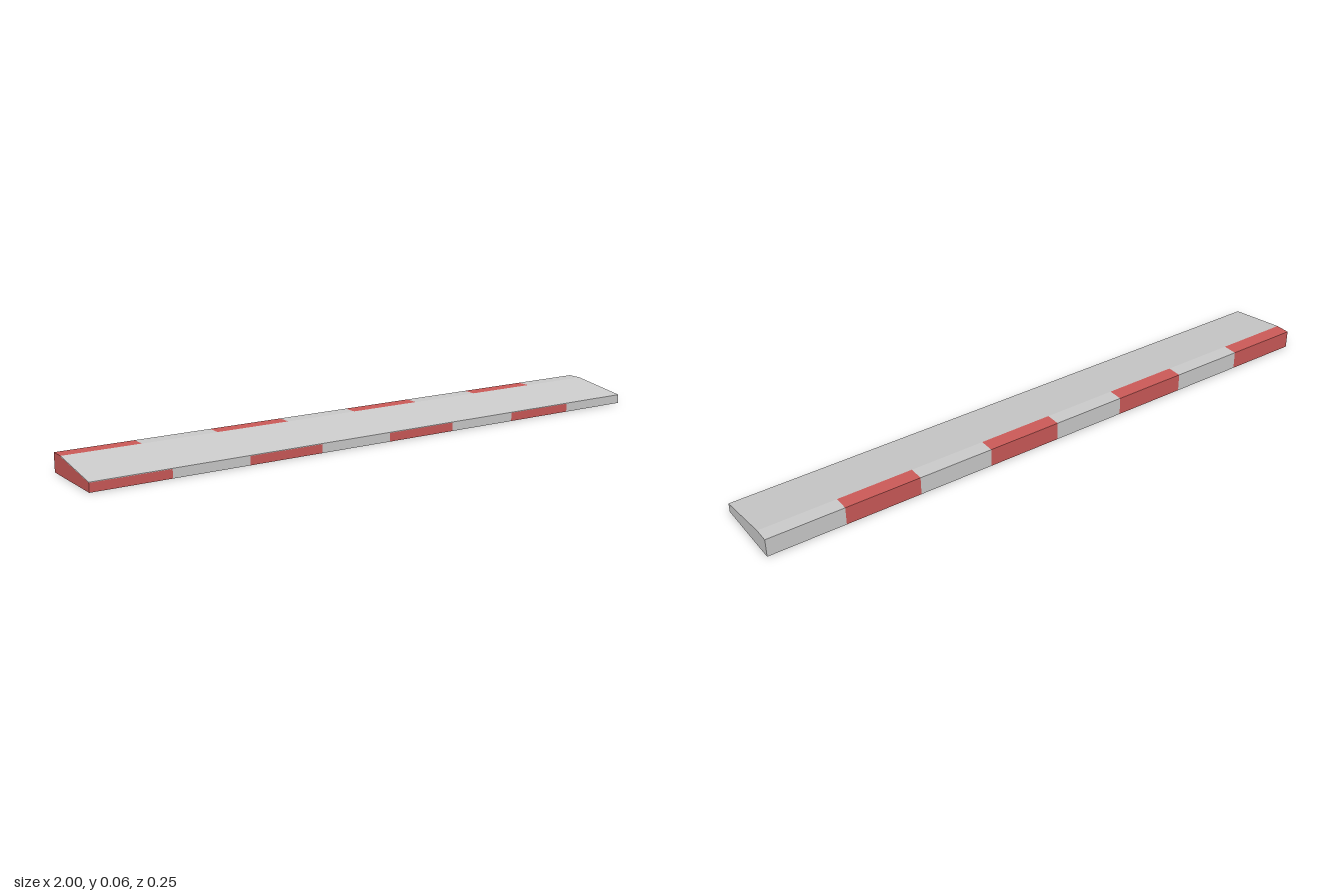
import * as THREE from 'three';

const grey = new THREE.MeshStandardMaterial({ color: 0xcccccc, flatShading: true });
const red = new THREE.MeshStandardMaterial({ color: 0xcc5a58, flatShading: true });

// Extrudes a [z, y] profile along x, from x0 to x1
function extrudeAlongX(name, profile, x0, x1, material) {
  const shape = new THREE.Shape(profile.map(([z, y]) => new THREE.Vector2(z, y)));
  const geometry = new THREE.ExtrudeGeometry(shape, { depth: x1 - x0, bevelEnabled: false });
  geometry.rotateY(-Math.PI / 2).translate(x1, 0, 0);
  const mesh = new THREE.Mesh(geometry, material);
  mesh.name = name;
  return mesh;
}

export function createModel() {
  const group = new THREE.Group();
  group.name = 'kerb';

  const front = 0.125, back = -0.125, crest = -0.075;
  const lip = 0.03, top = 0.06, skin = 0.002;

  // Kerb blocks in alternating colours, recessed under the ramp surface
  const block = [
    [front, 0], [front, lip - skin], [crest, top - skin],
    [crest, top], [back, top], [back, 0],
  ];
  const count = 8, length = 2 / count;
  for (let i = 0; i < count; i++) {
    const x = -1 + i * length;
    const isRed = i % 2 === 0;
    group.add(extrudeAlongX(isRed ? 'redBlock' : 'greyBlock', block, x, x + length, isRed ? red : grey));
  }

  // Plain sloping surface over the whole length
  const ramp = [[front, lip - skin], [front, lip], [crest, top], [crest, top - skin]];
  group.add(extrudeAlongX('rampSurface', ramp, -1, 1, grey));

  return group;
}
